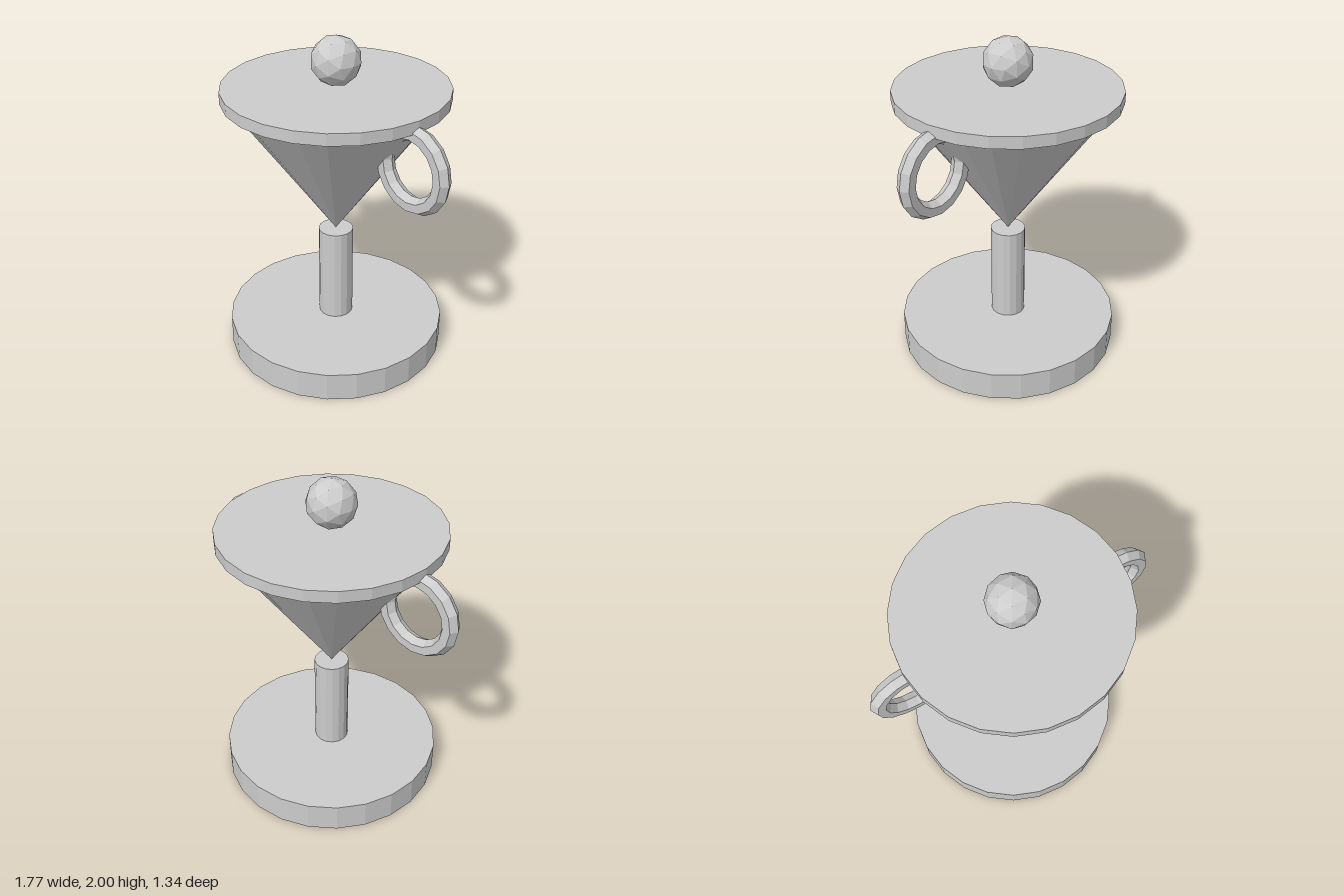
import * as THREE from 'three';

export function createModel() {
  const group = new THREE.Group();
  group.name = 'trophy';
  const silver = new THREE.MeshStandardMaterial({ color: 0xcccccc });
  silver.name = 'silver';
  silver.flatShading = true;

  const add = (name, geometry, x, y) => {
    const mesh = new THREE.Mesh(geometry, silver);
    mesh.name = name;
    mesh.position.set(x, y, 0);
    group.add(mesh);
    return mesh;
  };
  // Upright drum or cone between two heights
  const drum = (name, rTop, rBottom, y0, y1, sides) =>
    add(name, new THREE.CylinderGeometry(rTop, rBottom, y1 - y0, sides), 0, (y0 + y1) / 2);

  drum('base', 0.67, 0.67, 0, 0.18, 24);
  drum('stem', 0.105, 0.105, 0.18, 0.78, 16);
  drum('bowl', 0.605, 0, 0.78, 1.645, 24);
  drum('lid', 0.655, 0.655, 1.64, 1.71, 24);

  // Faceted knob on the lid
  add('knob', new THREE.IcosahedronGeometry(0.146, 1), 0, 1.854);

  // Ring handles, partly sunk in the bowl
  for (const side of [1, -1]) {
    add(side > 0 ? 'leftHandle' : 'rightHandle',
      new THREE.TorusGeometry(0.21, 0.05, 6, 16), side * 0.625, 1.42);
  }
  return group;
}
